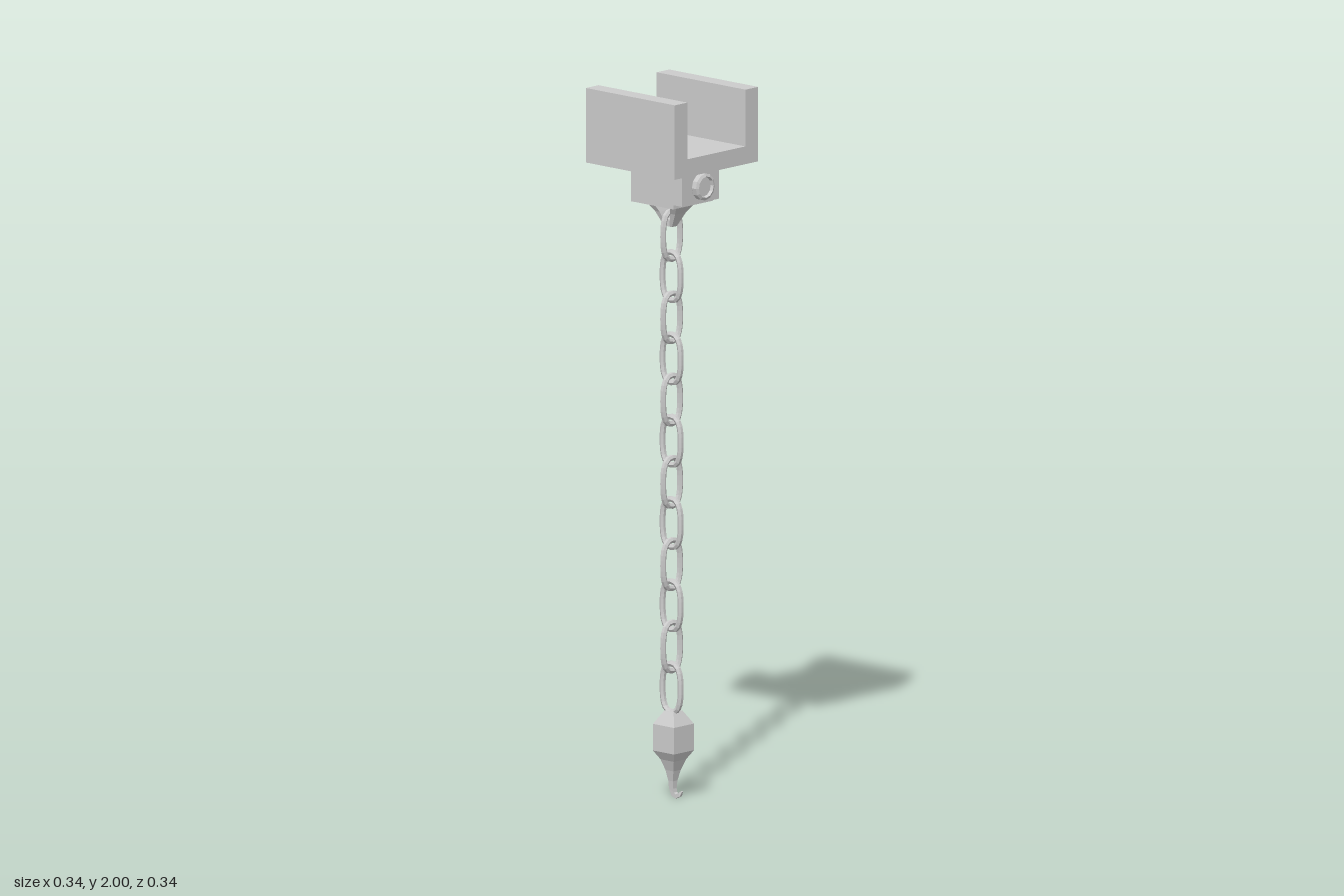
import * as THREE from 'three';

const material = new THREE.MeshStandardMaterial({ color: 0xcccccc, flatShading: true });

function add(parent, name, geometry, x = 0, y = 0, z = 0) {
  const mesh = new THREE.Mesh(geometry, material);
  mesh.name = name;
  mesh.position.set(x, y, z);
  parent.add(mesh);
  return mesh;
}

// Box given by its limits on each axis
function block(parent, name, [x0, x1], [y0, y1], [z0, z1]) {
  const geometry = new THREE.BoxGeometry(x1 - x0, y1 - y0, z1 - z0);
  return add(parent, name, geometry, (x0 + x1) / 2, (y0 + y1) / 2, (z0 + z1) / 2);
}

// Rectangular loft running downwards; section = [y, z, halfWidth, halfDepth, tilt]
function loft(sections) {
  const positions = [], index = [];
  for (const [y, z, w, d, tilt = 0] of sections) {
    for (const [sx, sz] of [[1, 1], [-1, 1], [-1, -1], [1, -1]]) {
      positions.push(sx * w, y + sz * d * Math.sin(tilt), z + sz * d * Math.cos(tilt));
    }
  }
  for (let i = 0; i < sections.length - 1; i++) {
    for (let k = 0; k < 4; k++) {
      const a = i * 4 + k, b = i * 4 + (k + 1) % 4;
      index.push(b, b + 4, a + 4, b, a + 4, a);
    }
  }
  const e = (sections.length - 1) * 4;
  index.push(0, 3, 2, 0, 2, 1, e, e + 1, e + 2, e, e + 2, e + 3);
  const geometry = new THREE.BufferGeometry();
  geometry.setAttribute('position', new THREE.Float32BufferAttribute(positions, 3));
  geometry.setIndex(index);
  const flat = geometry.toNonIndexed();
  flat.computeVertexNormals();
  return flat;
}

// Rounded oblong centre line of a chain link
class LinkCurve extends THREE.Curve {
  getPoint(t, target = new THREE.Vector3()) {
    const a = t * Math.PI * 2, c = Math.cos(a), s = Math.sin(a), p = 0.75;
    return target.set(
      0.034 * Math.sign(c) * Math.abs(c) ** p,
      0.068 * Math.sign(s) * Math.abs(s) ** p, 0);
  }
}

export function createModel() {
  const model = new THREE.Group();
  model.name = 'chainPull';

  // U-shaped ceiling channel
  const u = new THREE.Shape([
    [-0.168, 1.79], [0.168, 1.79], [0.168, 2], [0.117, 2],
    [0.117, 1.84], [-0.117, 1.84], [-0.117, 2], [-0.168, 2],
  ].map(([x, y]) => new THREE.Vector2(x, y)));
  add(model, 'channel', new THREE.ExtrudeGeometry(u, { depth: 0.336, bevelEnabled: false }), 0, 0, -0.168);

  // Housing below the channel
  block(model, 'housing', [-0.08, 0.08], [1.68, 1.79], [-0.08, 0.08]);
  block(model, 'frontPlate', [-0.09, 0.06], [1.695, 1.79], [0.08, 0.122]);

  // Round knob with a recessed face
  const knob = new THREE.LatheGeometry([
    [0.034, 0], [0.038, 0.005], [0.038, 0.02], [0.03, 0.024], [0.028, 0.014], [0, 0.014],
  ].map(([r, y]) => new THREE.Vector2(r, y)), 12);
  add(model, 'knob', knob, -0.015, 1.742, 0.12).rotation.x = Math.PI / 2;

  // Two tapering straps meeting at the bar that carries the first link
  for (const side of [1, -1]) {
    add(model, 'strap', loft([
      [1.685, side * 0.05, 0.042, 0.014],
      [1.65, side * 0.029, 0.022, 0.009],
      [1.61, side * 0.01, 0.01, 0.005],
    ]), -0.003, 0, -0.003);
  }
  block(model, 'hangerBar', [-0.013, 0.007], [1.61, 1.63], [-0.018, 0.012]);

  // Chain of alternating links
  const chain = new THREE.Group();
  chain.name = 'chain';
  model.add(chain);
  const link = new THREE.TubeGeometry(new LinkCurve(), 24, 0.0085, 6, true);
  for (let i = 0; i < 12; i++) {
    add(chain, 'link', link, -0.01, 1.587 - i * 0.116, 0.008).rotation.y = (i % 2) * Math.PI / 2;
  }

  // Square weight, drawn out into a small hook that curls forward
  add(model, 'weightAndHook', loft([
    [0.247, 0.008, 0.018, 0.018],
    [0.21, 0.008, 0.04, 0.04],
    [0.135, 0.008, 0.04, 0.04],
    [0.11, 0.008, 0.025, 0.025],
    [0.08, 0.007, 0.015, 0.015],
    [0.05, 0.006, 0.009, 0.009],
    [0.028, 0.006, 0.007, 0.008, 0.1],
    [0.013, 0.011, 0.006, 0.007, 0.8],
    [0.008, 0.022, 0.006, 0.006, 1.5],
    [0.014, 0.034, 0.005, 0.005, 2.0],
    [0.024, 0.041, 0.002, 0.002, 2.4],
  ]), -0.003, -0.002, 0);

  return model;
}
